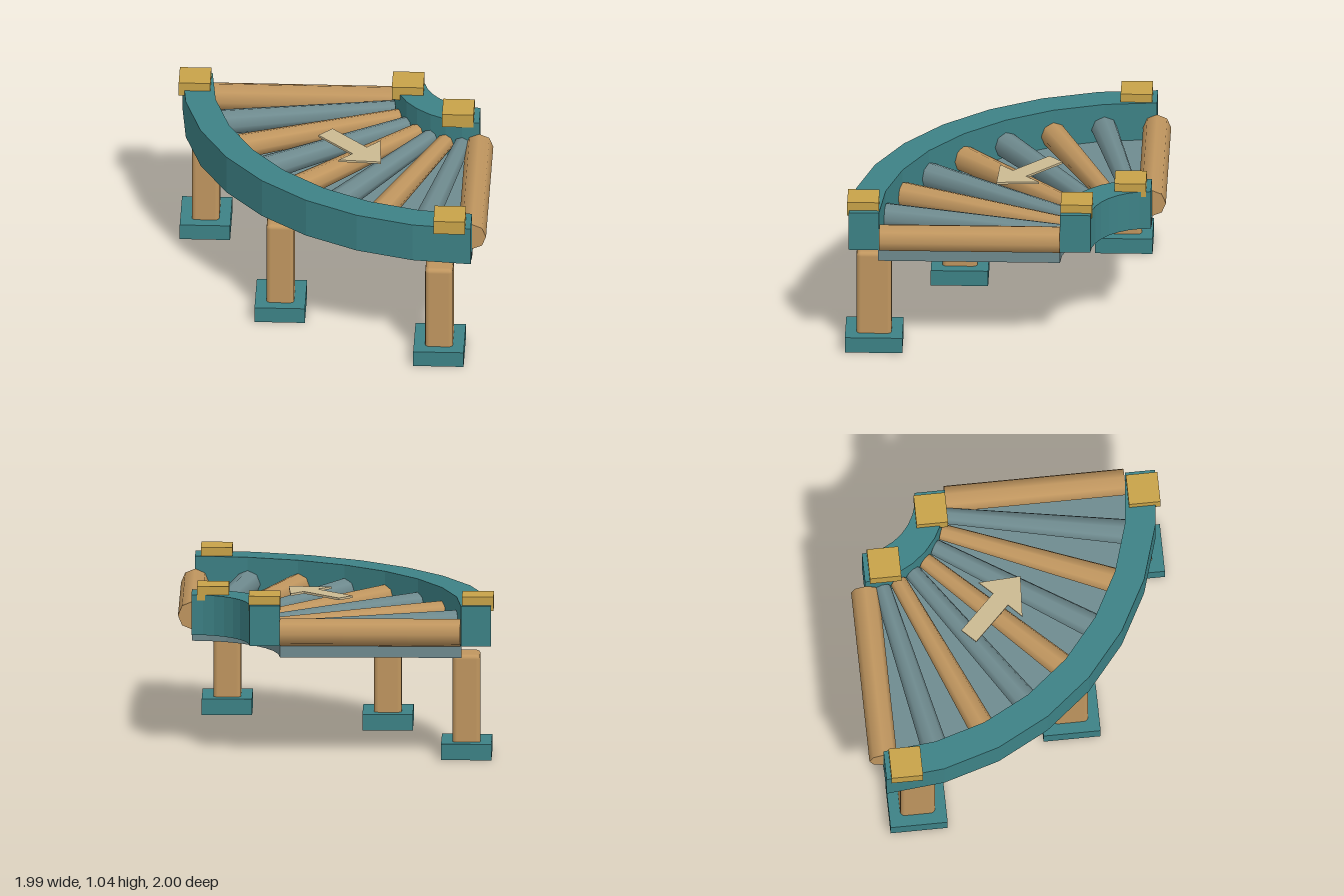
import * as THREE from 'three';
import { RoundedBoxGeometry } from 'three/addons/geometries/RoundedBoxGeometry.js';

const material = (name, color, flatShading = false) => {
  const m = new THREE.MeshStandardMaterial({ color, flatShading });
  m.name = name;
  return m;
};

export function createModel() {
  const teal = material('teal', 0x3d8286);
  const tan = material('tan', 0xc0965f);
  const grey = material('greyBlue', 0x6f8b8f);
  const gold = material('gold', 0xc8a349);
  const sand = material('sand', 0xcbba92);

  const model = new THREE.Group();
  model.name = 'curvedRollerConveyor';
  const add = (name, geometry, mat, x = 0, y = 0, z = 0) => {
    const mesh = new THREE.Mesh(geometry, mat);
    mesh.name = name;
    mesh.position.set(x, y, z);
    model.add(mesh);
    return mesh;
  };

  // Centre of the quarter-circle bend
  const CX = 0.9, CZ = -0.91, STEPS = 8;
  const angle = (i) => (i / STEPS) * Math.PI / 2;

  // Flat outline given as [x, z], raised into a slab
  const slab = (points, height) => {
    const shape = new THREE.Shape(points.map(([x, z]) => new THREE.Vector2(x, -z)));
    return new THREE.ExtrudeGeometry(shape, { depth: height, bevelEnabled: false }).rotateX(-Math.PI / 2);
  };
  const sector = (inner, outer, height) => {
    const points = [];
    for (let i = 0; i <= STEPS; i++) points.push([-outer * Math.cos(angle(i)), outer * Math.sin(angle(i))]);
    for (let i = STEPS; i >= 0; i--) points.push([-inner * Math.cos(angle(i)), inner * Math.sin(angle(i))]);
    return slab(points, height);
  };

  // Deck and side rails
  add('deck', sector(0.56, 1.7, 0.075), grey, CX, 0.657, CZ);
  add('outerRail', sector(1.695, 1.885, 0.255), teal, CX, 0.73, CZ);
  add('innerRail', sector(0.37, 0.56, 0.255), teal, CX, 0.73, CZ);

  // Rollers: straight at both ends of the bend, tapered between them
  const r0 = 0.56, r1 = 1.692, mid = (r0 + r1) / 2;
  for (let i = 0; i <= STEPS; i++) {
    const straight = i === 0 || i === STEPS;
    const geometry = new THREE.CylinderGeometry(straight ? 0.088 : 0.083, straight ? 0.088 : 0.054, r1 - r0, 8)
      .rotateZ(Math.PI / 2)
      .rotateY(angle(i));
    add('roller' + (i + 1), geometry, i % 2 ? grey : tan,
      CX - mid * Math.cos(angle(i)), 0.8175, CZ + mid * Math.sin(angle(i)));
  }

  // Caps on the rail ends
  const capGeometry = new THREE.BoxGeometry(0.198, 0.09, 0.198);
  [[-0.9, -0.78], [0.437, -0.78], [0.765, -0.452], [0.765, 0.886]].forEach(([x, z], i) =>
    add('railCap' + (i + 1), capGeometry, gold, x, 0.995, z));

  // Direction arrow lying above the rollers
  add('directionArrow', slab([
    [-0.105, -0.255], [0.118, -0.032], [0.033, 0.05], [0.3, 0.065],
    [0.285, -0.2], [0.203, -0.117], [-0.02, -0.34],
  ], 0.014), sand, 0, 0.916, 0);

  // Legs on foot pads
  const legGeometry = new RoundedBoxGeometry(0.173, 0.65, 0.22, 2, 0.028);
  const padGeometry = new THREE.BoxGeometry(0.316, 0.102, 0.36);
  [[-0.828, -0.705], [-0.318, 0.311], [0.698, 0.82]].forEach(([x, z], i) => {
    add('leg' + (i + 1), legGeometry, tan, x, 0.332, z);
    add('footPad' + (i + 1), padGeometry, teal, x, 0.051, z);
  });

  return model;
}
